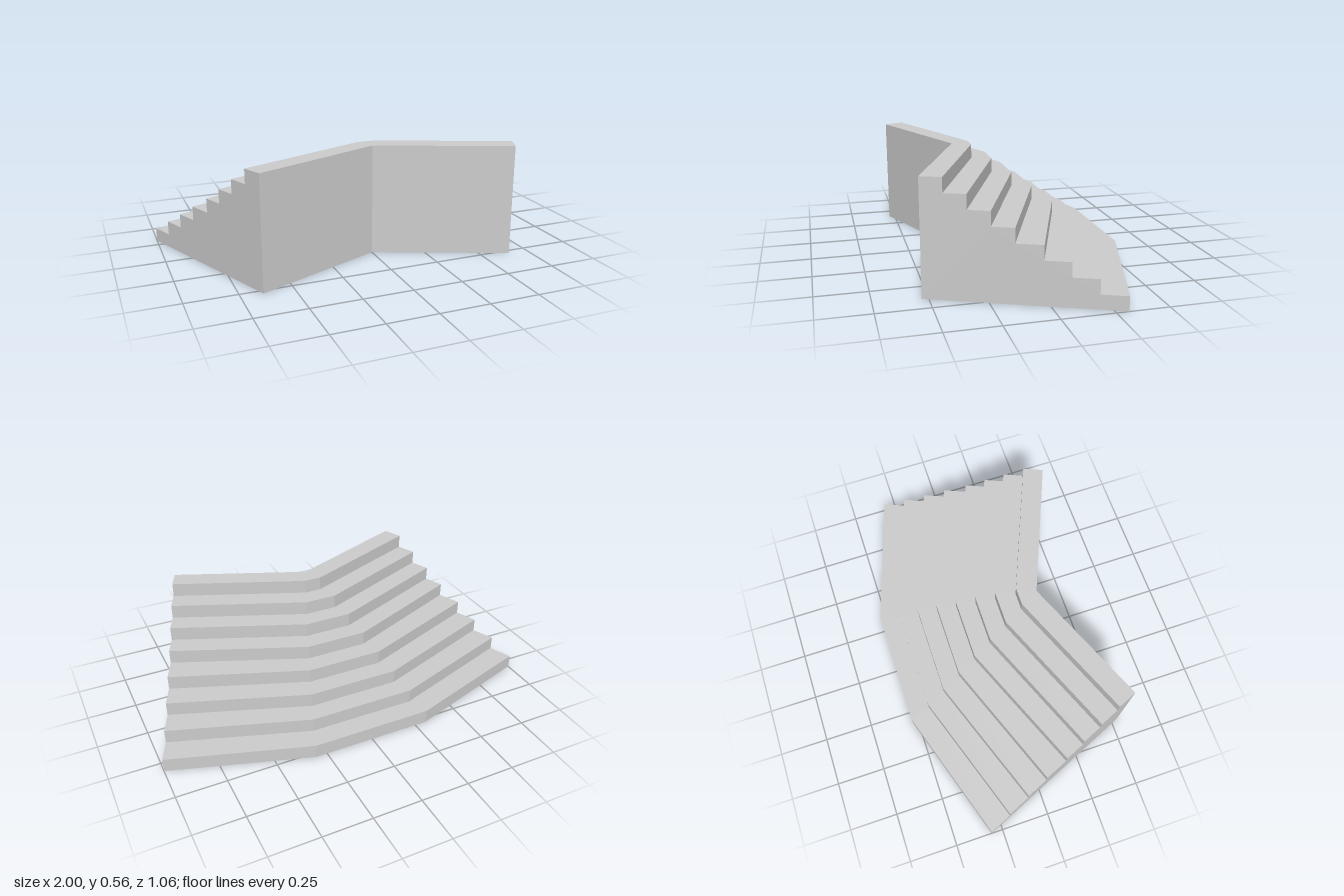
import * as THREE from 'three';

const STEPS = 8;
const HEIGHT = 0.563;
// Back edge of every step: z at the outer ends and z along the straight middle
const END_Z = [-0.309, -0.194, -0.081, 0.03, 0.146, 0.243, 0.339, 0.435];
const MID_Z = [-0.53, -0.423, -0.322, -0.221, -0.121, -0.024, 0.072, 0.169];
const FRONT_END_Z = 0.531;
const FRONT_MID_Z = 0.262;

// The end walls are flat and lean inward toward the front
const endX = (z) => 1 - 0.4226 * (z - END_Z[0]);

// One row of four points running from the right end to the left end
function makeRow(y, zEnd, zMid, xMid) {
  const x = endX(zEnd);
  return [[-x, y, zEnd], [-xMid, y, zMid], [xMid, y, zMid], [x, y, zEnd]]
    .map((p) => new THREE.Vector3(...p));
}

function stairGeometry() {
  // Closed loop of rows: up the risers and treads, then down the front wall
  const rows = [];
  for (let i = 0; i < STEPS; i++) {
    const xMid = 0.31 - 0.038 * i;
    for (const level of [i, i + 1]) {
      rows.push(makeRow((HEIGHT * level) / STEPS, END_Z[i], MID_Z[i], xMid));
    }
  }
  rows.push(makeRow(HEIGHT, FRONT_END_Z, FRONT_MID_Z, 0));
  rows.push(makeRow(0, FRONT_END_Z, FRONT_MID_Z, 0));

  const positions = [];
  const triangle = (a, b, c) => {
    // The middle of the front narrows to a crease, so skip empty triangles
    if (a.equals(b) || b.equals(c) || c.equals(a)) return;
    for (const p of [a, b, c]) positions.push(p.x, p.y, p.z);
  };

  // Risers, treads, front wall and underside
  rows.forEach((row, j) => {
    const next = rows[(j + 1) % rows.length];
    for (let c = 0; c < 3; c++) {
      triangle(row[c], next[c], next[c + 1]);
      triangle(row[c], next[c + 1], row[c + 1]);
    }
  });

  // Stepped end walls
  const profile = rows.map((row) => new THREE.Vector2(row[0].z, row[0].y));
  for (const face of THREE.ShapeUtils.triangulateShape(profile, [])) {
    const clockwise = THREE.ShapeUtils.isClockWise(face.map((k) => profile[k]));
    const [a, b, c] = clockwise ? [...face].reverse() : face;
    triangle(rows[a][0], rows[b][0], rows[c][0]);
    triangle(rows[c][3], rows[b][3], rows[a][3]);
  }

  const geometry = new THREE.BufferGeometry();
  geometry.setAttribute('position', new THREE.Float32BufferAttribute(positions, 3));
  geometry.computeVertexNormals();
  return geometry;
}

export function createModel() {
  const group = new THREE.Group();
  group.name = 'angledStaircase';
  const material = new THREE.MeshStandardMaterial({ color: 0xcccccc, flatShading: true });
  const stairs = new THREE.Mesh(stairGeometry(), material);
  stairs.name = 'steps';
  group.add(stairs);
  return group;
}
